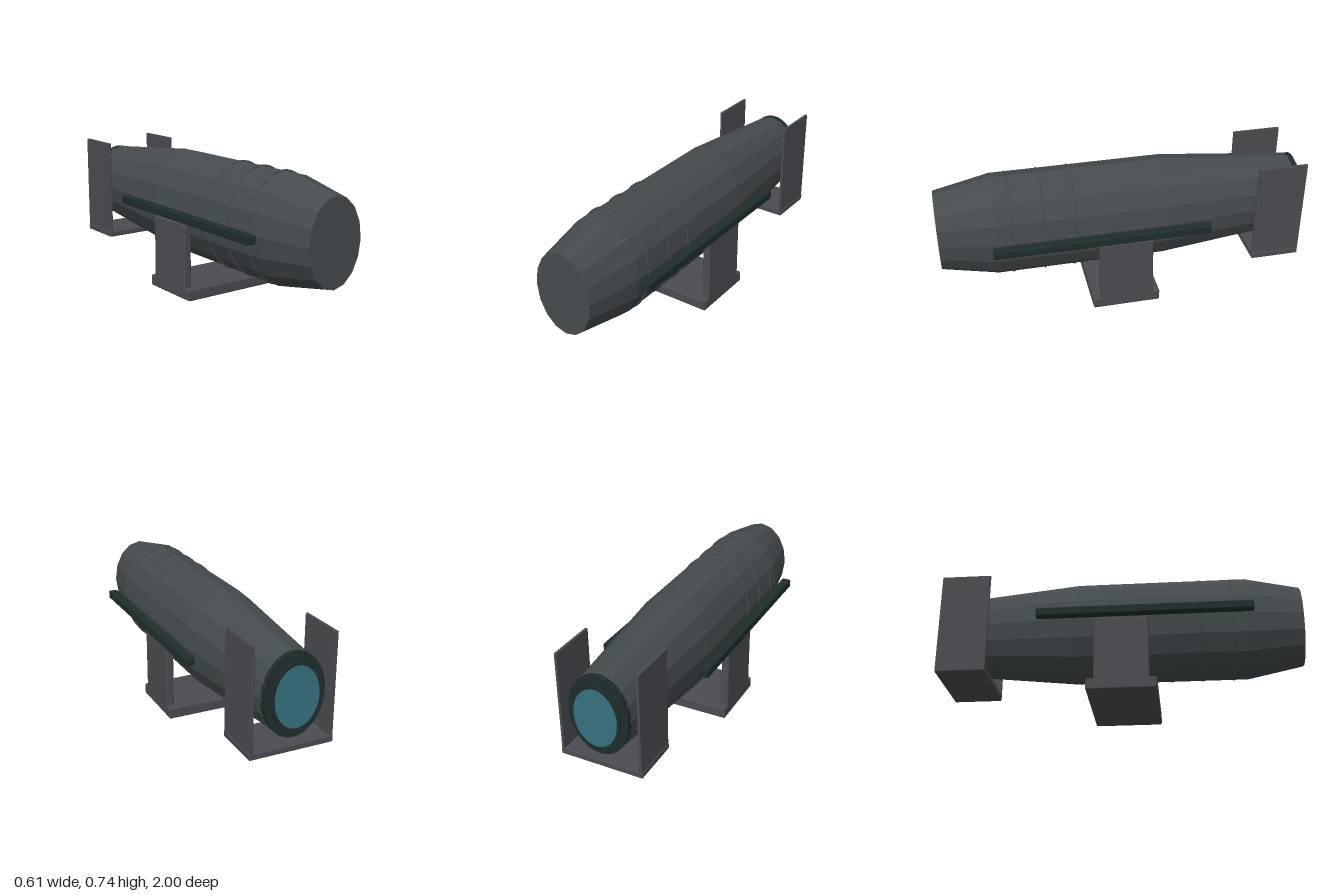
import * as THREE from 'three';
import { RoundedBoxGeometry } from 'three/addons/geometries/RoundedBoxGeometry.js';

const AXIS_Y = 0.446;   // height of the body's long axis
const OVAL = 1.315;     // height to width ratio of the body

export function createModel() {
  const model = new THREE.Group();
  const material = (name, color, flatShading = false) => {
    const m = new THREE.MeshStandardMaterial({ color, flatShading });
    m.name = name;
    return m;
  };
  const hull = material('hull grey', 0x454b4e, true);
  const frame = material('frame grey', 0x4b4c51);
  const dark = material('dark green black', 0x1f2d2d);
  const teal = material('teal glass', 0x36717e);

  const add = (name, geometry, mat, x = 0, y = 0, z = 0) => {
    const mesh = new THREE.Mesh(geometry, mat);
    mesh.name = name;
    mesh.position.set(x, y, z);
    model.add(mesh);
    return mesh;
  };
  // box given by its extents, with softened edges
  const block = (name, mat, [x0, x1], [y0, y1], [z0, z1], r) =>
    add(name, new RoundedBoxGeometry(x1 - x0, y1 - y0, z1 - z0, 2, r), mat,
      (x0 + x1) / 2, (y0 + y1) / 2, (z0 + z1) / 2);
  // oval disc lying across the long axis
  const disc = (name, mat, rx, ry, z0, z1) => {
    const g = new THREE.CylinderGeometry(1, 1, z1 - z0, 40);
    g.rotateX(Math.PI / 2).scale(rx, ry, 1);
    return add(name, g, mat, 0, AXIS_Y, (z0 + z1) / 2);
  };

  // faceted body, tapered at both ends and closed by flat caps
  const profile = [[0, -0.96], [0.163, -0.96], [0.22, -0.22], [0.22, 0.7], [0.173, 1], [0, 1]]
    .map(([r, z]) => new THREE.Vector2(r, z));
  const body = new THREE.LatheGeometry(profile, 16).rotateX(Math.PI / 2).scale(1, OVAL, 1);
  const p = body.attributes.position;
  for (let i = 0; i < p.count; i++) if (p.getZ(i) > 0.99) p.setX(i, p.getX(i) * 0.953);
  add('body', body, hull, 0, AXIS_Y, 0);

  // thin bands around the front half
  for (const z of [0.62, 0.45, 0.285]) {
    const band = new THREE.TorusGeometry(0.2185, 0.005, 6, 48).scale(1, OVAL, 1);
    add('band', band, hull, 0, AXIS_Y, z);
  }

  // rear nozzle: collar, hub, rim and glowing disc
  disc('rearCollar', dark, 0.163, 0.216, -0.972, -0.945);
  disc('rearHub', dark, 0.115, 0.155, -0.99, -0.965);
  disc('rearRim', dark, 0.132, 0.176, -0.995, -0.984);
  disc('rearGlass', teal, 0.117, 0.157, -1, -0.992);

  // tail bracket and stand bases
  block('tailBase', frame, [-0.227, 0.227], [0.152, 0.186], [-0.97, -0.7], 0.006);
  block('standBase', frame, [-0.283, 0.283], [0, 0.063], [-0.155, 0.215], 0.01);

  // paired tail plates, stand posts and side rails
  for (const s of [-1, 1]) {
    const span = (a, b) => (s > 0 ? [a, b] : [-b, -a]);
    block('tailPlate', frame, span(0.209, 0.223), [0.155, 0.725], [-0.97, -0.7], 0.002);
    block('standPost', frame, span(0.239, 0.283), [0.04, 0.41], [-0.115, 0.175], 0.009);
    block('sideRail', dark, span(0.255, 0.306), [0.423, 0.469], [-0.425, 0.73], 0.007);
  }
  return model;
}
